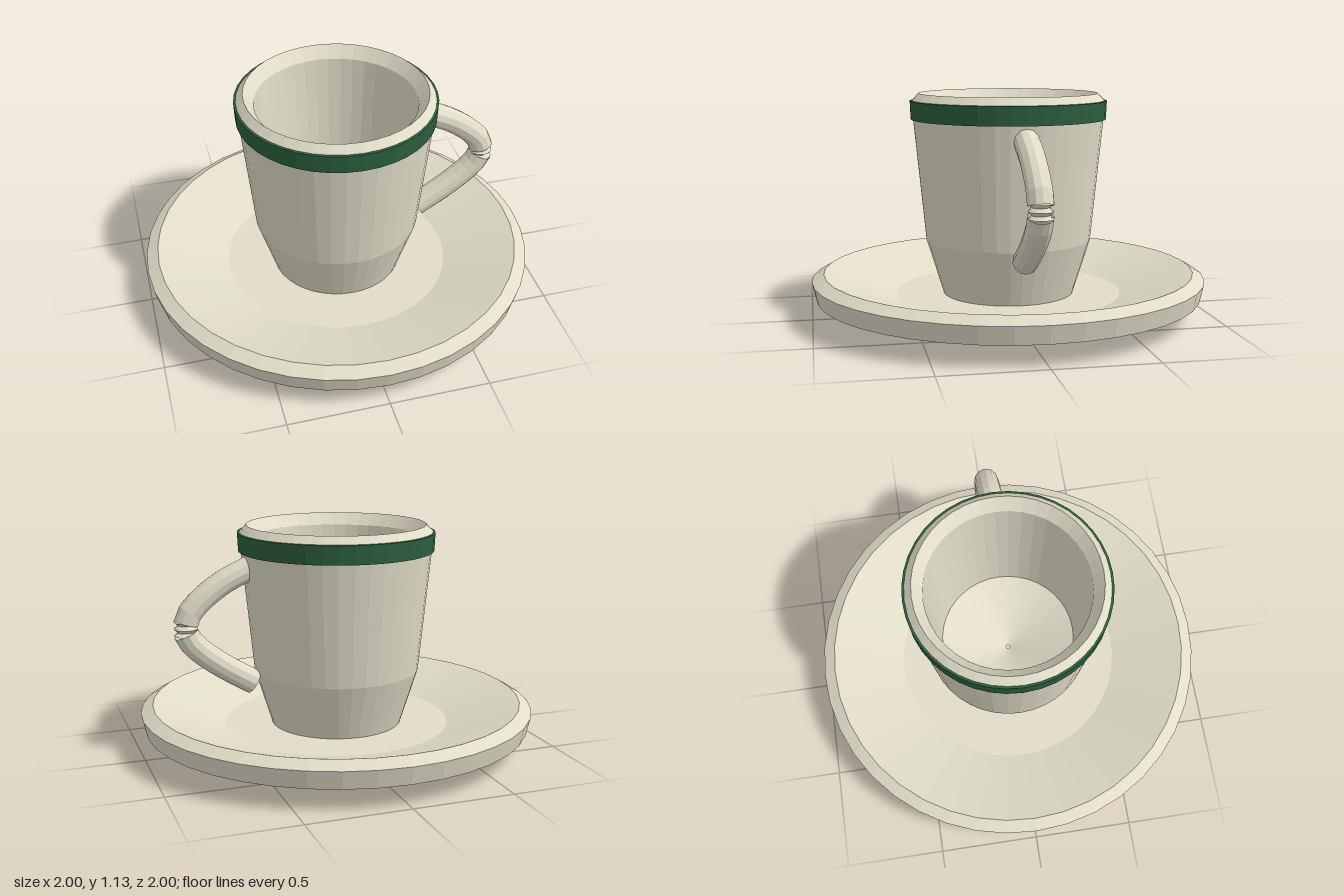
import * as THREE from 'three';

const SEGMENTS = 40;

export function createModel() {
  const cream = new THREE.MeshStandardMaterial({ color: 0xe0dcc8, flatShading: true, side: THREE.DoubleSide });
  cream.name = 'cream ceramic';
  const green = new THREE.MeshStandardMaterial({ color: 0x2c5f3f, flatShading: true, side: THREE.DoubleSide });
  green.name = 'green glaze';

  const group = new THREE.Group();
  group.name = 'cupAndSaucer';

  const add = (name, geometry, material, parent = group) => {
    const mesh = new THREE.Mesh(geometry, material);
    mesh.name = name;
    parent.add(mesh);
    return mesh;
  };
  const lathe = (profile, segments = SEGMENTS) =>
    new THREE.LatheGeometry(profile.map(([r, y]) => new THREE.Vector2(r, y)), segments);

  // Saucer: underside, rim, sloping dish and flat well
  add('saucer', lathe([
    [0.01, 0], [0.62, 0], [0.98, 0.105], [1, 0.195],
    [0.94, 0.23], [0.575, 0.11], [0.01, 0.11],
  ]), cream);

  // Cup: tapered outside, bevelled lip, inner wall and conical floor
  add('cup', lathe([
    [0.01, 0.1], [0.33, 0.1], [0.42, 0.39], [0.48, 1.0], [0.487, 1.092],
    [0.45, 1.13], [0.4, 1.07], [0.345, 0.39], [0.01, 0.23],
  ]), cream);

  // Raised coloured band below the lip
  add('rimBand', lathe([
    [0.478, 1.0], [0.492, 1.0], [0.496, 1.092], [0.485, 1.094],
  ]), green);

  // Handle: two bowed arms meeting at a pinched joint
  const handle = new THREE.Group();
  handle.name = 'handle';
  group.add(handle);
  const arm = (name, points) => {
    const path = new THREE.CatmullRomCurve3(points.map(([x, y]) => new THREE.Vector3(x, y, 0)));
    add(name, new THREE.TubeGeometry(path, 8, 0.062, 12, false), cream, handle);
  };
  arm('upperHandleArm', [[0.43, 0.94], [0.59, 0.865], [0.71, 0.775], [0.765, 0.71], [0.775, 0.675]]);
  arm('lowerHandleArm', [[0.775, 0.625], [0.765, 0.6], [0.72, 0.545], [0.6, 0.45], [0.44, 0.35]]);
  const joint = add('handleJoint', lathe([
    [0.06, 0.035], [0.04, 0.018], [0.06, 0], [0.04, -0.018], [0.06, -0.035],
  ].reverse(), 12), cream, handle);
  joint.position.set(0.775, 0.65, 0);

  return group;
}
